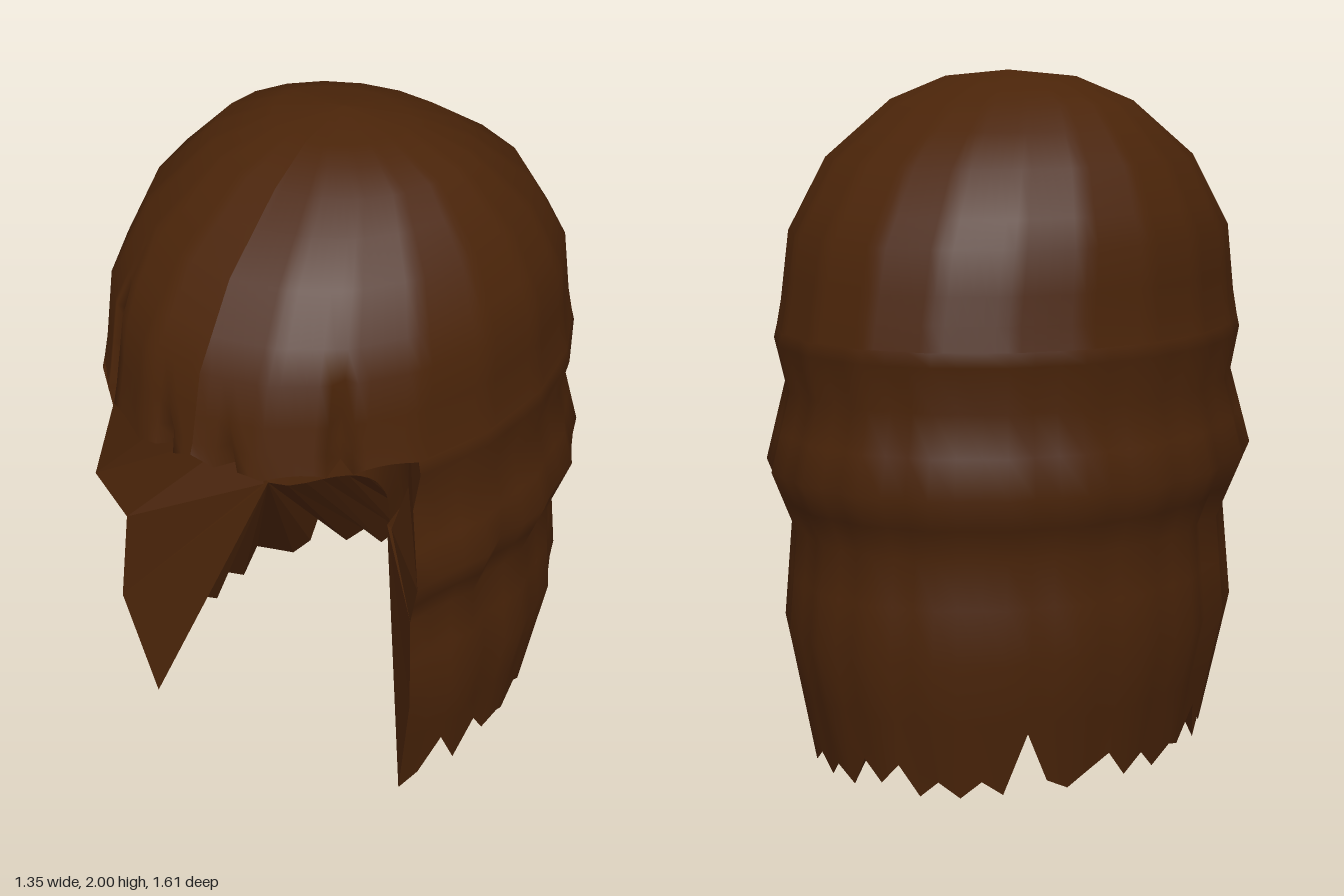
import * as THREE from 'three';

// Hair outline by height: [y, half width, front depth, back depth]
const PROFILE = [
  [2, 0, 0, 0], [1.98, 0.2, 0.2, 0.14], [1.91, 0.37, 0.36, 0.31], [1.75, 0.53, 0.59, 0.545],
  [1.54, 0.62, 0.745, 0.695], [1.31, 0.63, 0.8, 0.755], [1.23, 0.65, 0.81, 0.77],
  [1.1, 0.62, 0.8, 0.74], [0.87, 0.675, 0.88, 0.8], [0.69, 0.605, 0.77, 0.725],
  [0.4, 0.625, 0.81, 0.755], [0, 0.54, 0.7, 0.68],
];
// Heights of the ragged tips, every 6 degrees from the back to the front edge
const TIPS = [0.03, 0.09, 0, 0.05, 0, 0.05, 0.01, 0.19, 0.04, 0.01, 0.05,
  0.09, 0.01, 0.06, 0, 0.05, 0.03, 0.13, 0.01, 0.15, 0.03, 0];
const EDGE = 126; // where the long hair stops, in degrees from the back
const FRINGE_Y = 1.27;
const rad = THREE.MathUtils.degToRad;
const lerp = THREE.MathUtils.lerp;

// Point on the outer hair; the plan is a 20-sided oval
function outer(deg, y, scale = 1) {
  let i = 0;
  while (i < PROFILE.length - 2 && y < PROFILE[i + 1][0]) i++;
  const a = PROFILE[i], b = PROFILE[i + 1];
  const t = (a[0] - y) / (a[0] - b[0]);
  const [w, f, k] = [1, 2, 3].map((n) => lerp(a[n], b[n], t) * scale);
  const d0 = Math.floor(deg / 18) * 18, u = (deg - d0) / 18;
  const s = lerp(Math.sin(rad(d0)), Math.sin(rad(d0 + 18)), u);
  const c = lerp(Math.cos(rad(d0)), Math.cos(rad(d0 + 18)), u);
  return new THREE.Vector3(w * s, y, -c * (c < 0 ? f : k));
}

// Surface through rows of points of equal length
function grid(rows) {
  const n = rows[0].length, index = [];
  for (let r = 0; r < rows.length - 1; r++) {
    for (let i = 0; i < n - 1; i++) {
      const a = r * n + i, b = a + n;
      index.push(a, a + 1, b, a + 1, b + 1, b);
    }
  }
  const geo = new THREE.BufferGeometry().setFromPoints(rows.flat());
  geo.setIndex(index);
  geo.computeVertexNormals();
  return geo;
}

const range = (a, b, step) => Array.from({ length: Math.round((b - a) / step) + 1 }, (_, i) => a + i * step);
const tipAt = (deg) => TIPS[Math.round(Math.abs(deg) / 6)];

// Crown with splits pressed into the fringe and a slightly arched lower edge
function fringePoint(deg, y) {
  const front = Math.abs(180 - Math.abs(deg));
  let scale = 1;
  if (front === 36 && y < 1.62) scale -= 0.13 * Math.min(1, (1.62 - y) / 0.25);
  if (front === 9 && y < 1.42) scale -= 0.08 * (1.42 - y) / 0.15;
  const p = outer(deg, y, scale);
  if (y === FRINGE_Y && front < 9) p.y += 0.04 * (1 - front / 9);
  if (y === FRINGE_Y && front > 9 && front < 54) p.y += 0.015 * Math.abs(Math.sin(rad(front * 10)));
  return p;
}

function crownGeometry() {
  const angles = range(-180, 180, 3);
  const ys = [2, 1.98, 1.95, 1.91, 1.84, 1.75, 1.62, 1.54, 1.42, 1.34, FRINGE_Y];
  return grid(ys.map((y) => angles.map((d) => fringePoint(d, y))));
}

// Long wavy hair round the sides and back
function curtainGeometry() {
  const angles = range(-EDGE, EDGE, 6);
  const ys = [FRINGE_Y, 1.23, 1.1, 0.98, 0.87, 0.78, 0.69, 0.55, 0.4, 0.22, 0];
  return grid(ys.map((y) => angles.map((d) => {
    const groove = y > 1.1 || y === 0 ? 0 : 0.006 * (1 - Math.cos(rad(d * 20)));
    const slit = Math.abs(d) === 102 && y < 0.9 && y > 0 ? 0.03 : 0;
    return outer(d, y || tipAt(d), 1 - groove - slit);
  })));
}

// Inner back wall: u runs from -1 to 1 across it, hollow in the middle
const WALL_Y = 0.64;
function wallPoint(u, y) {
  const w = y > 0.9 ? lerp(0.29, 0.27, (y - 0.9) / 0.4) : lerp(0.21, 0.29, (y - WALL_Y) / 0.26);
  const lift = y === WALL_Y ? 0.06 * u ** 8 : 0;
  return new THREE.Vector3(w * u, y + lift, -0.15 + 0.25 * u * u);
}

// Cheek walls and pleated underside: from the hair's rim to the inner back wall
function liningGeometry() {
  const edgeYs = [1.3, 1.23, 1.1, 0.87, 0.69, 0.4, 0.2];
  const rim = [], inner = [];
  const cheek = (side, y) => {
    rim.push(outer(side * EDGE, y));
    inner.push(wallPoint(side, Math.max(y, WALL_Y)));
  };
  edgeYs.forEach((y) => cheek(-1, y));
  for (const d of range(-EDGE, EDGE, 6)) {
    rim.push(outer(d, tipAt(d)));
    inner.push(wallPoint(THREE.MathUtils.clamp(d / 42, -1, 1), WALL_Y));
  }
  edgeYs.slice().reverse().forEach((y) => cheek(1, y));
  return grid([rim, inner]);
}

// Wall behind the face opening
function backWallGeometry() {
  const ys = [1.3, 1.1, 0.9, 0.78, WALL_Y];
  return grid(ys.map((y) => range(-7, 7, 1).map((i) => wallPoint(i / 7, y))));
}

// Underside of the fringe, running back to the inner wall
function undersideGeometry() {
  const angles = range(EDGE, 360 - EDGE, 3);
  const front = angles.map((d) => fringePoint(d > 180 ? d - 360 : d, FRINGE_Y));
  const back = angles.map((d) => wallPoint((180 - d) / (180 - EDGE), 1.3));
  return grid([front, back]);
}

export function createModel() {
  const group = new THREE.Group();
  group.name = 'hair';
  const smooth = new THREE.MeshStandardMaterial({ color: 0x4a2409, side: THREE.DoubleSide });
  const flat = smooth.clone();
  flat.flatShading = true;
  const add = (name, geometry, material) => {
    const mesh = new THREE.Mesh(geometry, material);
    mesh.name = name;
    group.add(mesh);
  };
  add('crownAndFringe', crownGeometry(), smooth);
  add('longHair', curtainGeometry(), smooth);
  add('innerPleats', liningGeometry(), flat);
  add('innerBackWall', backWallGeometry(), smooth);
  add('fringeUnderside', undersideGeometry(), flat);
  return group;
}
